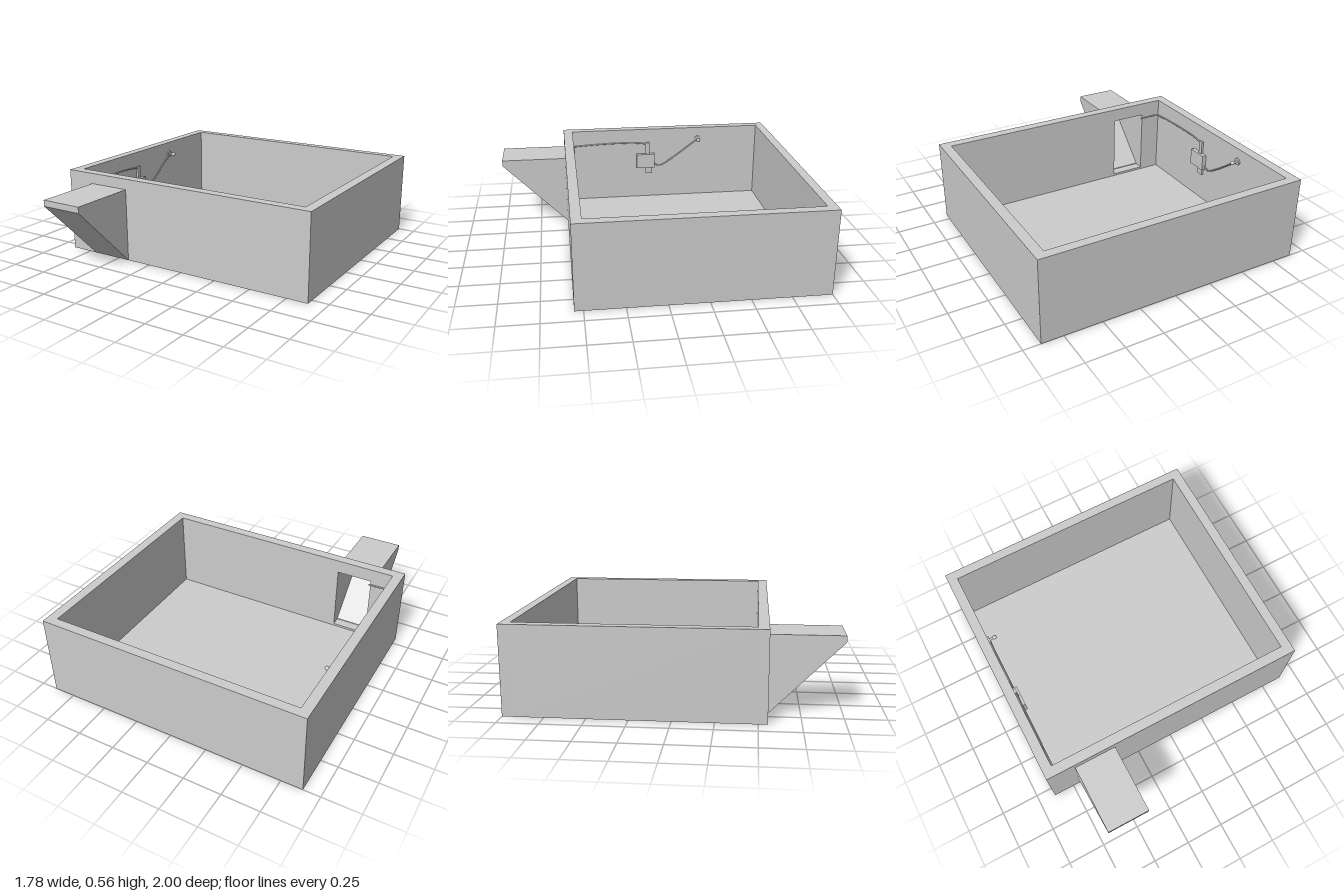
import * as THREE from 'three';

export function createModel() {
  const model = new THREE.Group();
  const mat = new THREE.MeshStandardMaterial({ color: 0xcccccc, side: THREE.DoubleSide });

  const add = (name, geo, parent = model) => {
    const mesh = new THREE.Mesh(geo, mat);
    mesh.name = name;
    parent.add(mesh);
    return mesh;
  };
  // box given by its min and max corners
  const block = (name, [x0, y0, z0], [x1, y1, z1], parent) => {
    const mesh = add(name, new THREE.BoxGeometry(x1 - x0, y1 - y0, z1 - z0), parent);
    mesh.position.set((x0 + x1) / 2, (y0 + y1) / 2, (z0 + z1) / 2);
    return mesh;
  };
  const polygon = (pts) => new THREE.Shape(pts.map(([u, v]) => new THREE.Vector2(u, v)));
  // side profile in (z, y), swept across x from x0 to x1
  const sweepX = (name, pts, x0, x1, parent) => {
    const geo = new THREE.ExtrudeGeometry(polygon(pts), { depth: x1 - x0, bevelEnabled: false });
    geo.rotateY(-Math.PI / 2).translate(x1, 0, 0);
    return add(name, geo, parent);
  };
  const cable = (name, pts, r, parent) => {
    const curve = new THREE.CatmullRomCurve3(pts.map((p) => new THREE.Vector3(...p)));
    return add(name, new THREE.TubeGeometry(curve, 40, r, 8), parent);
  };

  const X = 0.89, XI = 0.825, H = 0.555, BACK = -1, FRONT = 0.555, FI = 0.49;

  // open-topped room
  block('floor', [-XI, 0, -0.94], [XI, 0.005, FI]);
  block('backWall', [-X, 0, BACK], [X, H, -0.94]);
  block('leftWall', [XI, 0, -0.94], [X, H, FI]);
  block('rightWall', [-X, 0, -0.94], [-XI, H, FI]);

  // front wall with an opening into the chute
  const front = polygon([[-X, 0], [X, 0], [X, H], [-X, H]]);
  front.holes.push(polygon([[-0.68, 0.02], [-0.68, 0.465], [-0.44, 0.465], [-0.44, 0.02]]));
  const frontGeo = new THREE.ExtrudeGeometry(front, { depth: FRONT - FI, bevelEnabled: false });
  add('frontWall', frontGeo.translate(0, 0, FI));

  // hollow wedge chute on the front
  const chute = new THREE.Group();
  chute.name = 'chute';
  model.add(chute);
  const side = [[FRONT, 0], [1, 0.445], [1, 0.485], [FRONT, 0.485]];
  sweepX('chuteRightSide', side, -0.7, -0.68, chute);
  sweepX('chuteLeftSide', side, -0.44, -0.42, chute);
  sweepX('chuteRamp', [[FRONT, 0], [1, 0.445], [1, 0.465], [FRONT, 0.025]], -0.68, -0.44, chute);
  block('chuteRoof', [-0.68, 0.465, FRONT], [-0.44, 0.485, 1], chute);

  // control box on the right wall
  const control = new THREE.Group();
  control.name = 'controlBox';
  model.add(control);
  block('boxBody', [-XI, 0.25, -0.14], [-0.795, 0.36, 0], control);
  block('boxLever', [-XI, 0.36, -0.1], [-0.81, 0.45, -0.07], control);
  block('boxFoot', [-XI, 0.2, -0.12], [-0.81, 0.25, -0.07], control);

  // wall knob
  const knob = new THREE.Group();
  knob.name = 'wallKnob';
  model.add(knob);
  const disc = (name, r, x0, x1) => {
    const mesh = add(name, new THREE.CylinderGeometry(r, r, x1 - x0, 16), knob);
    mesh.rotation.z = Math.PI / 2;
    mesh.position.set((x0 + x1) / 2, 0.465, -0.48);
  };
  disc('knobPlate', 0.024, -XI, -0.815);
  disc('knobStem', 0.008, -0.815, -0.78);
  add('knobBall', new THREE.SphereGeometry(0.014, 16, 12), knob).position.set(-0.78, 0.465, -0.48);

  // cables from knob to box, and from box round the corner to the opening
  cable('knobCable', [[-0.815, 0.465, -0.48], [-0.818, 0.42, -0.42], [-0.818, 0.31, -0.27],
    [-0.818, 0.26, -0.18], [-0.815, 0.28, -0.13]], 0.005);
  cable('chuteCable', [[-0.815, 0.44, -0.08], [-0.818, 0.45, 0.02], [-0.818, 0.45, 0.25],
    [-0.818, 0.44, 0.45], [-0.81, 0.44, 0.483], [-0.76, 0.44, 0.484], [-0.67, 0.44, 0.484]], 0.005);

  return model;
}
